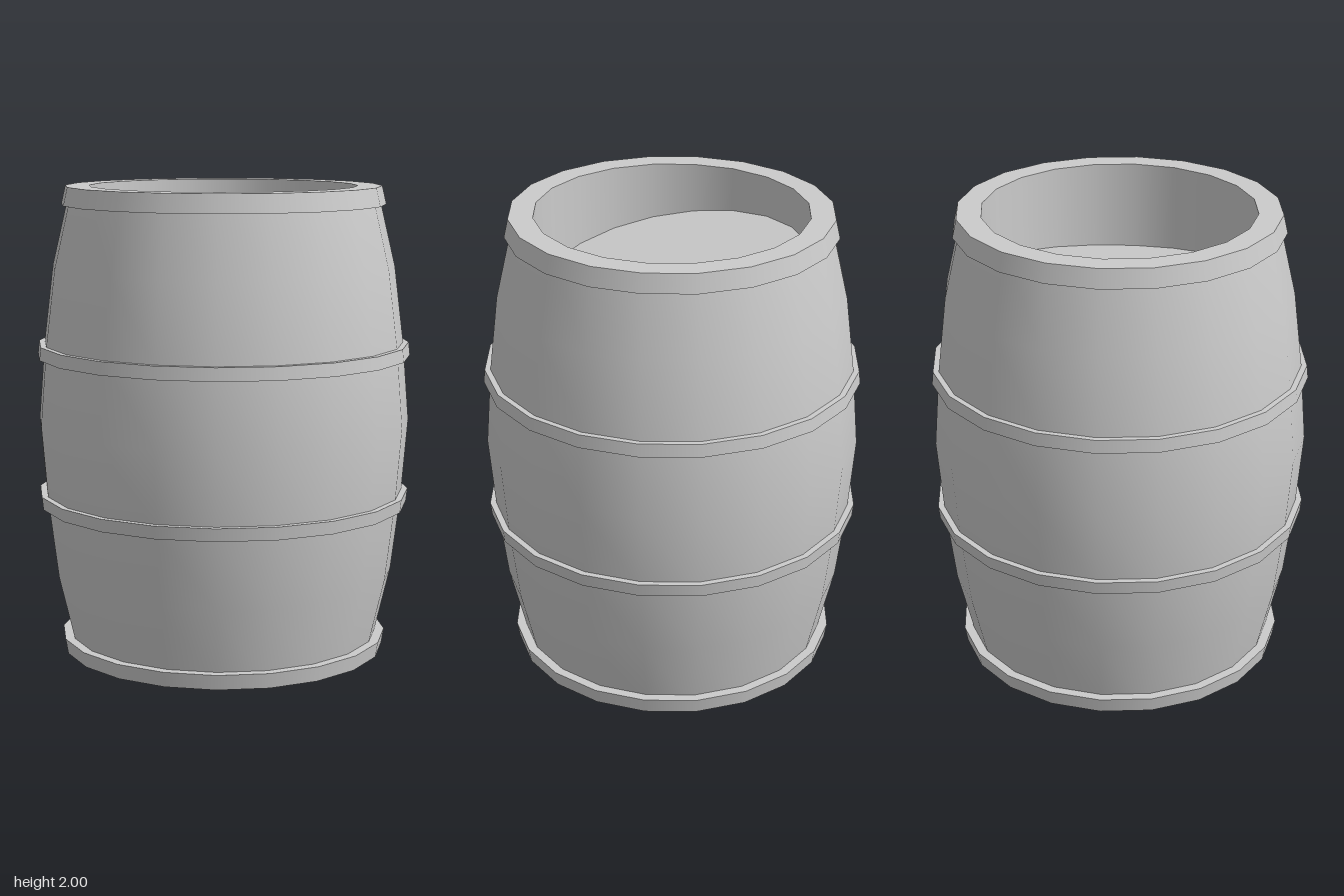
import * as THREE from 'three';
import { mergeGeometries } from 'three/addons/utils/BufferGeometryUtils.js';

const SIDES = 20;

// Turns each run of [radius, y] points separately, so runs meet in sharp edges.
// A run going upward faces outward.
function turned(...runs) {
  return mergeGeometries(runs.map((run) =>
    new THREE.LatheGeometry(run.map(([r, y]) => new THREE.Vector2(r, y)), SIDES)));
}

// Band with a slanted outer face, and flat ledges running in to the staves.
function hoop(y0, r0, y1, r1, inner) {
  return turned(
    [[inner, y0], [r0, y0]],
    [[r0, y0], [r1, y1]],
    [[r1, y1], [inner, y1]]
  );
}

export function createModel() {
  const barrel = new THREE.Group();
  barrel.name = 'barrel';
  const material = new THREE.MeshStandardMaterial({ color: 0xcccccc });
  const add = (name, geometry) => {
    const mesh = new THREE.Mesh(geometry, material);
    mesh.name = name;
    barrel.add(mesh);
  };

  // Bulging wall of staves, rim, open well and closed base
  add('staves', turned([
    [0.65, 0], [0.73, 0.34], [0.77, 0.665], [0.797, 1],
    [0.77, 1.335], [0.73, 1.66], [0.65, 2]
  ]));
  add('rim', turned([[0.65, 2], [0.57, 2]]));
  add('innerWall', turned([[0.57, 2], [0.57, 1.6]]));
  add('base', turned([[0, 0], [0.65, 0]]));

  // Hoops
  add('bottomHoop', hoop(0, 0.695, 0.065, 0.706, 0.65));
  add('lowerHoop', hoop(0.64, 0.793, 0.695, 0.799, 0.765));
  add('upperHoop', hoop(1.28, 0.8, 1.335, 0.794, 0.765));
  add('topHoop', hoop(1.922, 0.69, 2, 0.672, 0.65));

  // Slanted lid lying inside the well, higher on the -x side
  const lid = new THREE.CircleGeometry(0.57, SIDES).rotateX(-Math.PI / 2);
  const p = lid.attributes.position;
  for (let i = 0; i < p.count; i++) p.setY(i, 1.725 - 0.18 * p.getX(i));
  lid.computeVertexNormals();
  add('sunkenLid', lid);

  return barrel;
}
